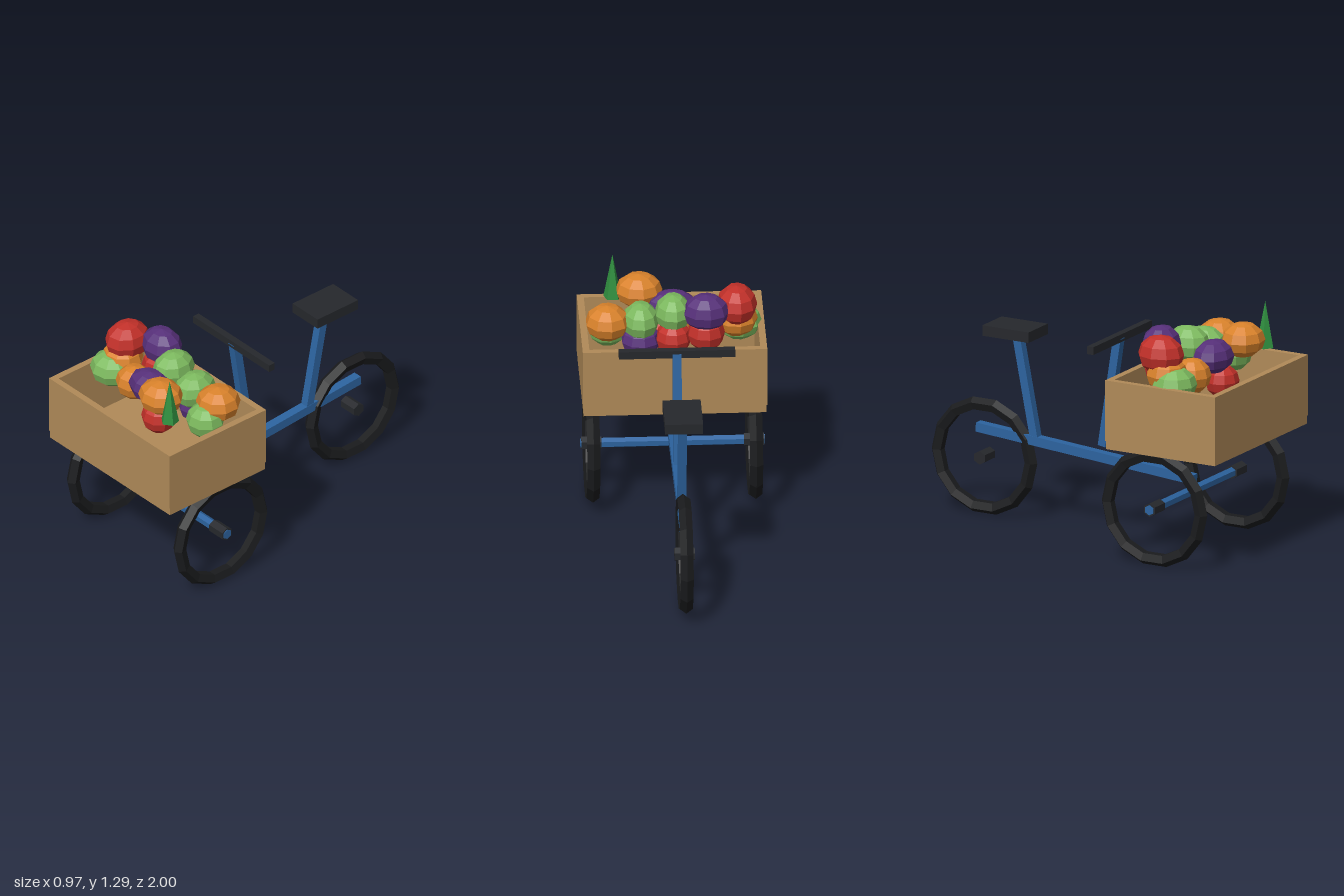
import * as THREE from 'three';

const mat = (color) => new THREE.MeshStandardMaterial({ color, flatShading: true });

export function createModel() {
  const root = new THREE.Group();
  root.name = 'cargoTricycle';
  const M = {
    wood: mat(0xb08a58), blue: mat(0x2c639f), dark: mat(0x26282c), tyre: mat(0x1a1b1d),
    red: mat(0xc23029), orange: mat(0xd9822b), green: mat(0x7cb95e),
    purple: mat(0x57307a), leaf: mat(0x2f8f3f),
  };

  function add(name, geometry, material, x, y, z, parent = root) {
    const mesh = new THREE.Mesh(geometry, material);
    mesh.name = name;
    mesh.position.set(x, y, z);
    parent.add(mesh);
    return mesh;
  }
  const box = (name, material, w, h, d, x, y, z, parent) =>
    add(name, new THREE.BoxGeometry(w, h, d), material, x, y, z, parent);

  // Square bar between two (y, z) points on the centre plane
  function bar(name, y0, z0, y1, z1, t) {
    const length = Math.hypot(y1 - y0, z1 - z0);
    const mesh = box(name, M.blue, t, length, t, 0, (y0 + y1) / 2, (z0 + z1) / 2);
    mesh.rotation.x = Math.atan2(z1 - z0, y1 - y0);
  }

  // Wheels: two in front, one behind
  const tyreGeo = new THREE.TorusGeometry(0.284, 0.036, 5, 14).rotateY(Math.PI / 2);
  const hubGeo = new THREE.CylinderGeometry(0.037, 0.037, 0.106, 6).rotateZ(Math.PI / 2).rotateX(Math.PI / 2);
  for (const [name, x, z] of [['leftFrontWheel', 0.427, 0.6], ['rightFrontWheel', -0.427, 0.6], ['rearWheel', 0, -0.68]]) {
    const wheel = new THREE.Group();
    wheel.name = name;
    wheel.position.set(x, 0.32, z);
    add('tyre', tyreGeo, M.tyre, 0, 0, 0, wheel);
    add('hub', hubGeo, M.dark, 0, 0, 0, wheel);
    root.add(wheel);
  }

  // Axle and frame
  const axleGeo = new THREE.CylinderGeometry(0.028, 0.028, 0.968, 6).rotateZ(Math.PI / 2).rotateX(Math.PI / 2);
  add('frontAxle', axleGeo, M.blue, 0, 0.32, 0.6);
  bar('mainBeam', 0.372, 0.595, 0.476, -0.72, 0.05);
  bar('steeringColumn', 0.478, 0.042, 1.08, 0.135, 0.046);
  bar('seatPost', 0.44, -0.365, 1.01, -0.477, 0.046);
  box('handlebar', M.dark, 0.61, 0.042, 0.038, 0, 1.08, 0.138);
  box('saddle', M.dark, 0.2, 0.057, 0.28, 0, 1.031, -0.495);

  // Open crate: floor slab plus four walls
  const crate = new THREE.Group();
  crate.name = 'crate';
  root.add(crate);
  const W = 0.968, D = 0.667, T = 0.036, H = 0.33, wallY = 0.825, cz = 0.6665;
  box('crateFloor', M.wood, W - 0.008, 0.05, D - 0.008, 0, 0.64, cz, crate);
  for (const s of [-1, 1]) {
    box(s > 0 ? 'crateFront' : 'crateBack', M.wood, W, H, T, 0, wallY, cz + s * (D - T) / 2, crate);
    box(s > 0 ? 'crateLeft' : 'crateRight', M.wood, T, H, D - 2 * T, s * (W - T) / 2, wallY, cz, crate);
  }

  // Piled produce: colour, centre, radii
  const produce = new THREE.Group();
  produce.name = 'produce';
  root.add(produce);
  const ball = new THREE.SphereGeometry(1, 9, 6);
  const pile = [
    ['red', -0.336, 1.13, 0.585, 0.107, 0.107, 0.128],
    ['purple', -0.17, 1.135, 0.49, 0.122, 0.102, 0.1],
    ['green', 0, 1.105, 0.555, 0.097, 0.1, 0.122],
    ['green', 0.17, 1.06, 0.555, 0.097, 0.1, 0.122],
    ['orange', 0.345, 1.06, 0.545, 0.118, 0.097, 0.12],
    ['green', 0.34, 0.985, 0.63, 0.105, 0.097, 0.1],
    ['orange', 0.168, 1.119, 0.79, 0.124, 0.094, 0.115],
    ['purple', -0.003, 1.058, 0.71, 0.138, 0.09, 0.1],
    ['orange', -0.17, 0.99, 0.68, 0.1, 0.095, 0.1],
    ['green', -0.35, 0.985, 0.675, 0.122, 0.095, 0.12],
    ['orange', -0.335, 1.03, 0.62, 0.113, 0.095, 0.11],
    ['red', -0.17, 1.01, 0.5, 0.1, 0.1, 0.1],
    ['red', 0, 0.98, 0.51, 0.095, 0.095, 0.095],
    ['purple', 0.17, 0.955, 0.54, 0.105, 0.09, 0.1],
    ['red', 0.07, 0.91, 0.72, 0.095, 0.09, 0.09],
  ];
  pile.forEach(([color, x, y, z, rx, ry, rz]) => {
    add(color + 'Produce', ball, M[color], x, y, z, produce).scale.set(rx, ry, rz);
  });

  // Pointed leaf standing at the front of the pile
  add('pointedLeaf', new THREE.ConeGeometry(0.049, 0.25, 5), M.leaf, 0.304, 1.178, 0.845, produce);

  return root;
}
